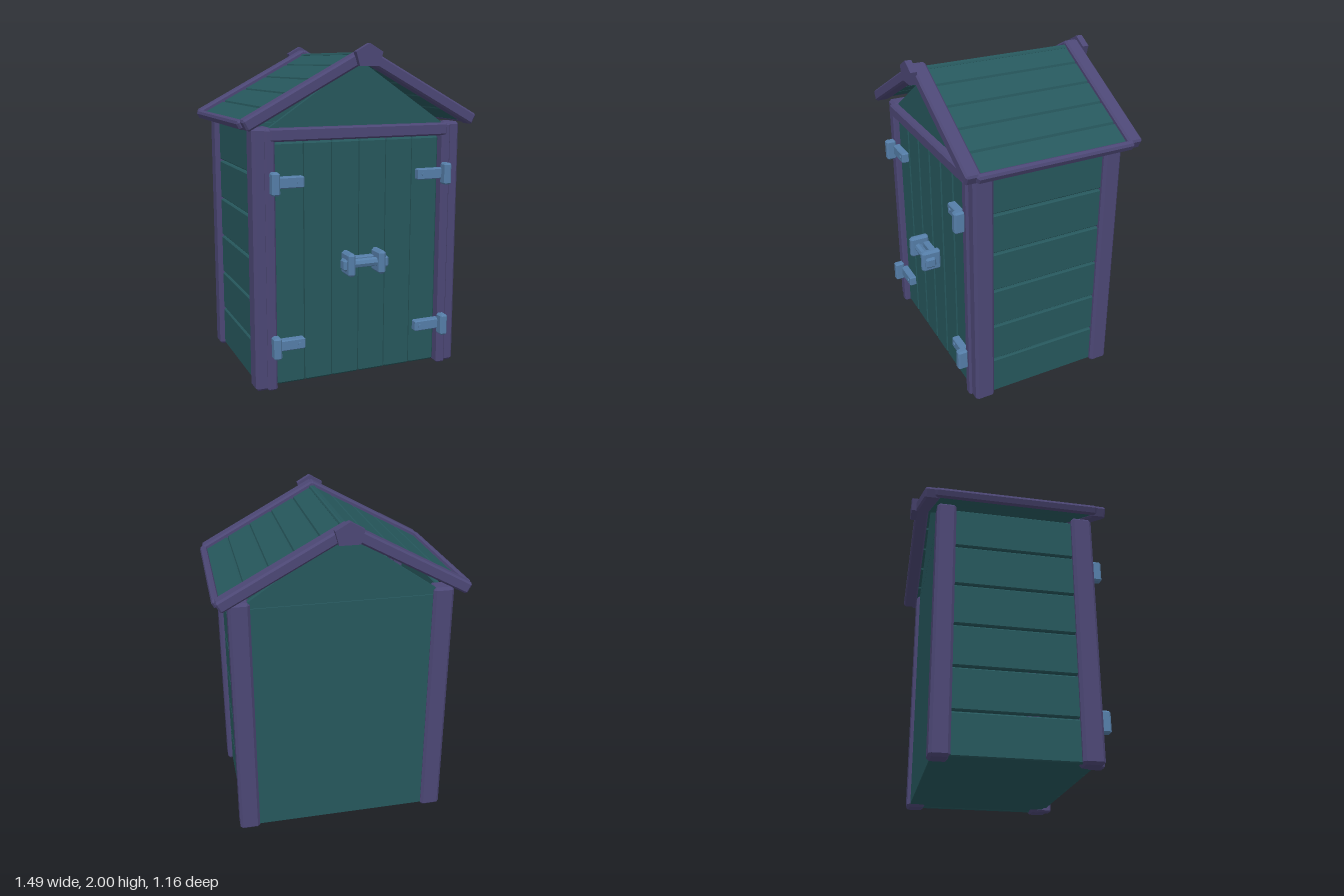
import * as THREE from 'three';
import { ConvexGeometry } from 'three/addons/geometries/ConvexGeometry.js';

const mat = (name, color) => {
  const m = new THREE.MeshStandardMaterial({ color });
  m.name = name;
  return m;
};

// Box with chamfered edges, given as min/max extents
function chamferBox(x0, x1, y0, y1, z0, z1, c) {
  const h = [(x1 - x0) / 2, (y1 - y0) / 2, (z1 - z0) / 2];
  const points = [];
  for (let axis = 0; axis < 3; axis++)
    for (const a of [-1, 1]) for (const b of [-1, 1]) for (const d of [-1, 1]) {
      const p = [a, b, d].map((s, i) => s * (i === axis ? h[i] : h[i] - c));
      points.push(new THREE.Vector3(...p));
    }
  return new ConvexGeometry(points).translate((x0 + x1) / 2, (y0 + y1) / 2, (z0 + z1) / 2);
}

function add(parent, name, geometry, material) {
  const mesh = new THREE.Mesh(geometry, material);
  mesh.name = name;
  parent.add(mesh);
  return mesh;
}

export function createModel() {
  const boards = mat('teal boards', 0x26575c);
  const trim = mat('purple trim', 0x4c4775);
  const metal = mat('blue metal', 0x557ea8);

  const shed = new THREE.Group();
  shed.name = 'gardenShed';
  const bar = (name, m, ext, c = 0.01, parent = shed) => add(parent, name, chamferBox(...ext, c), m);

  // Floor and back wall
  bar('floor', boards, [-0.6, 0.6, 0.015, 0.04, -0.44, 0.43], 0.002);
  bar('backWall', boards, [-0.57, 0.57, 0.015, 1.5, -0.45, -0.42], 0.003);

  // Corner posts, door frame and plank side walls, mirrored
  for (const s of [-1, 1]) {
    const side = s > 0 ? 'left' : 'right';
    const mx = (a, b) => (s > 0 ? [a, b] : [-b, -a]);
    bar(side + 'FrontPost', trim, [...mx(0.545, 0.66), 0, 1.54, 0.35, 0.475], 0.016);
    bar(side + 'BackPost', trim, [...mx(0.535, 0.66), 0, 1.54, -0.47, -0.355], 0.016);
    bar(side + 'DoorJamb', trim, [...mx(0.533, 0.592), 0, 1.53, 0.4, 0.49], 0.01);
    for (let i = 0; i < 6; i++) {
      const y = 0.01 + i * 0.2525;
      bar(side + 'WallPlank', boards, [...mx(0.595, 0.63), y, y + 0.243, -0.4, 0.4], 0.007);
    }
  }

  // Lintel over the doors
  bar('lintel', trim, [-0.565, 0.565, 1.46, 1.535, 0.41, 0.495]);

  // Double doors, three planks each
  for (let i = 0; i < 6; i++) {
    const x = -0.522 + i * 0.174;
    bar('doorPlank', boards, [x, x + 0.174, 0.02, 1.455, 0.42, 0.46], 0.011);
  }

  // Gable triangles
  const gable = new THREE.Shape([
    new THREE.Vector2(-0.56, 1.5), new THREE.Vector2(0.56, 1.5),
    new THREE.Vector2(0.56, 1.53), new THREE.Vector2(0, 1.91), new THREE.Vector2(-0.56, 1.53),
  ]);
  const gableGeo = new THREE.ExtrudeGeometry(gable, { depth: 0.03, bevelEnabled: false });
  add(shed, 'frontGable', gableGeo, boards).position.z = 0.415;
  add(shed, 'backGable', gableGeo, boards).position.z = -0.45;

  // Roof slopes: planks, bargeboards and eave board, built flat then tilted
  for (const s of [-1, 1]) {
    const turn = new THREE.Group();
    turn.name = s > 0 ? 'leftRoof' : 'rightRoof';
    turn.position.set(0, 1.98, -0.003);
    turn.rotation.y = s > 0 ? 0 : Math.PI;
    const slope = new THREE.Group();
    slope.name = 'roofSlope';
    slope.rotation.z = -0.494;
    turn.add(slope);
    shed.add(turn);
    for (let i = 0; i < 5; i++)
      bar('roofPlank', boards, [i * 0.165, i * 0.165 + 0.165, -0.056, -0.027, -0.48, 0.48], 0.009, slope);
    for (const e of [-1, 1]) {
      const z = e > 0 ? [0.46, 0.55] : [-0.55, -0.46];
      bar('bargeboard', trim, [0, 0.835, -0.07, 0, ...z], 0.011, slope);
    }
    bar('eaveBoard', trim, [0.812, 0.855, -0.055, 0, -0.49, 0.49], 0.012, slope);
  }

  // Ridge caps at both ends
  const cap = new THREE.Shape([
    new THREE.Vector2(-0.06, 1.873), new THREE.Vector2(0.06, 1.873), new THREE.Vector2(0.083, 1.953),
    new THREE.Vector2(0, 2), new THREE.Vector2(-0.083, 1.953),
  ]);
  const capGeo = new THREE.ExtrudeGeometry(cap, { depth: 0.04, bevelEnabled: false });
  add(shed, 'frontRidgeCap', capGeo, trim).position.z = 0.54;
  add(shed, 'backRidgeCap', capGeo, trim).position.z = -0.583;

  // Strap hinges
  for (const s of [-1, 1]) for (const y of [0.272, 1.23]) {
    const hinge = new THREE.Group();
    hinge.name = 'hinge';
    hinge.position.set(s * 0.547, y, 0);
    shed.add(hinge);
    const strap = s > 0 ? [-0.182, 0] : [0, 0.182];
    bar('hingeStrap', metal, [...strap, -0.033, 0.033, 0.455, 0.505], 0.006, hinge);
    bar('hingeKnuckle', metal, [-0.024, 0.024, -0.066, 0.066, 0.485, 0.55], 0.01, hinge);
    const bolt = add(hinge, 'hingeBolt', new THREE.CylinderGeometry(0.012, 0.012, 0.01, 8), metal);
    bolt.rotation.x = Math.PI / 2;
    bolt.position.set(-s * 0.148, 0, 0.507);
  }

  // Sliding latch
  for (const s of [-1, 1])
    bar('latchBracket', metal, [s * 0.098 - 0.023, s * 0.098 + 0.023, 0.66, 0.8, 0.455, 0.582], 0.014);
  bar('latchPlate', metal, [-0.08, 0.08, 0.705, 0.76, 0.455, 0.5], 0.006);
  const rod = add(shed, 'latchRod', new THREE.CylinderGeometry(0.027, 0.027, 0.27, 8).toNonIndexed(), metal);
  rod.geometry.computeVertexNormals();
  rod.rotation.z = Math.PI / 2;
  rod.position.set(0, 0.73, 0.532);
  for (const s of [-1, 1])
    bar('latchRodEnd', metal, [s * 0.131 - 0.014, s * 0.131 + 0.014, 0.695, 0.765, 0.497, 0.567], 0.012);

  return shed;
}
